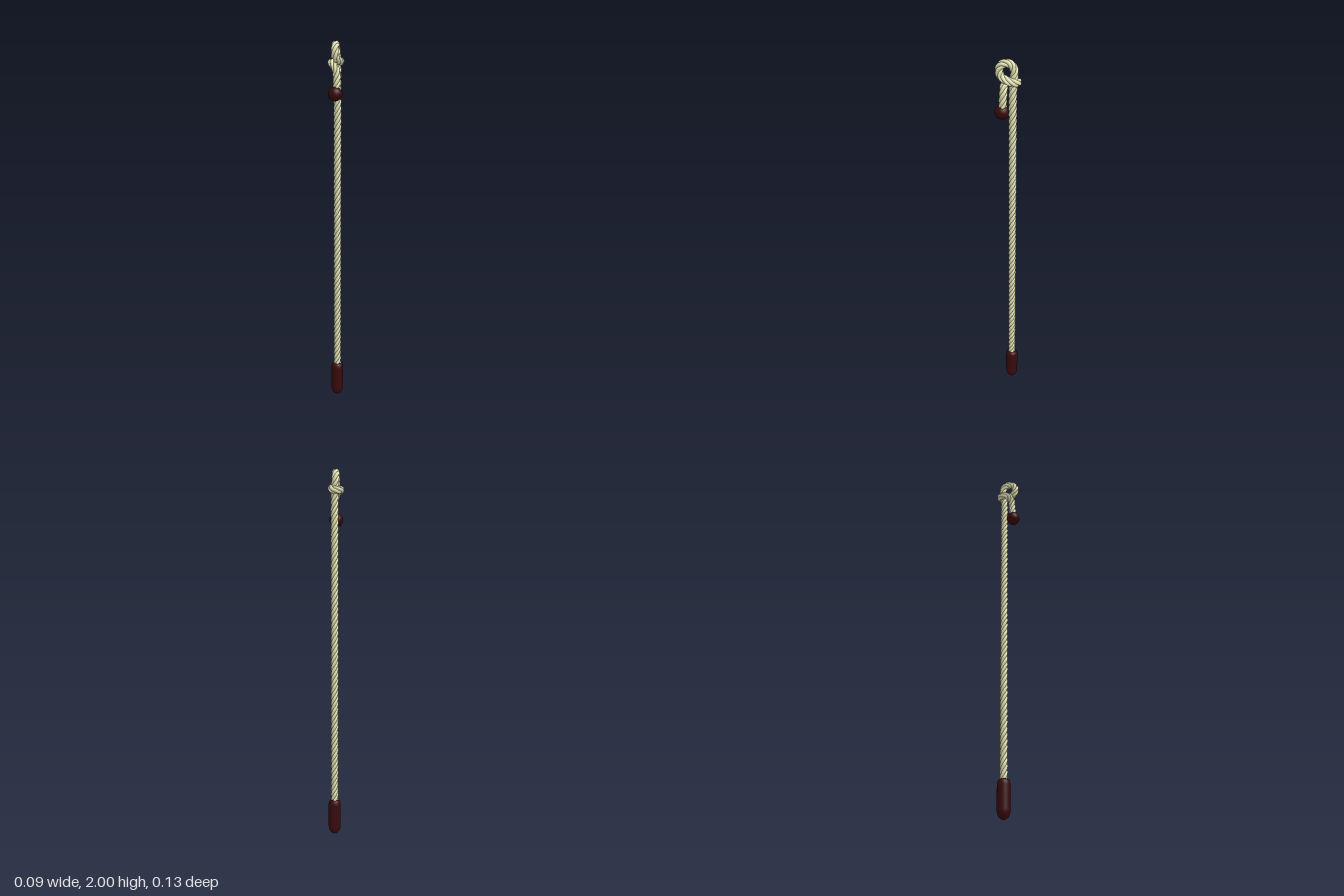
import * as THREE from 'three';

const ROPE = new THREE.MeshStandardMaterial({ color: 0xe3e3b5 });
const DARK = new THREE.MeshStandardMaterial({ color: 0x3a0a0c });

// Centre line: straight rope, loop at the top, wrap around itself, hanging tail
const PATH = [
  [0.012, 0.17, -0.02], [0.012, 0.6, -0.02], [0.012, 1.0, -0.02], [0.012, 1.4, -0.02],
  [0.012, 1.7, -0.02], [0.012, 1.84, -0.02], [0.012, 1.9, -0.024],
  [0.01, 1.943, -0.028], [0.004, 1.97, -0.016], [-0.004, 1.979, 0.009],
  [-0.012, 1.968, 0.033], [-0.016, 1.942, 0.041], [-0.01, 1.916, 0.034],
  [0.012, 1.902, 0.014], [0.025, 1.894, -0.012], [0.021, 1.888, -0.036],
  [0, 1.886, -0.045], [-0.018, 1.888, -0.03], [-0.019, 1.886, -0.005],
  [-0.01, 1.868, 0.017], [-0.002, 1.83, 0.024], [-0.006, 1.735, 0.028],
].map(p => new THREE.Vector3(...p));

// Twisted rope: strands spiralling round the centre line
function makeRope() {
  const rope = new THREE.Group();
  rope.name = 'rope';
  const path = new THREE.CatmullRomCurve3(PATH, false, 'centripetal');
  path.arcLengthDivisions = 1500;
  const steps = 600, strands = 4, pitch = 0.13, offset = 0.0112, radius = 0.0096;
  const turns = path.getLength() / pitch;
  const centres = path.getSpacedPoints(steps);
  const { normals, binormals } = path.computeFrenetFrames(steps, false);
  for (let s = 0; s < strands; s++) {
    const points = centres.map((c, i) => {
      const a = 2 * Math.PI * (turns * i / steps + s / strands);
      return c.clone()
        .addScaledVector(normals[i], offset * Math.cos(a))
        .addScaledVector(binormals[i], offset * Math.sin(a));
    });
    const curve = new THREE.CatmullRomCurve3(points);
    curve.arcLengthDivisions = 2400;
    const strand = new THREE.Mesh(new THREE.TubeGeometry(curve, steps, radius, 8), ROPE);
    strand.name = 'ropeStrand' + (s + 1);
    rope.add(strand);
  }
  return rope;
}

export function createModel() {
  const model = new THREE.Group();
  model.name = 'knottedPullCord';
  model.add(makeRope());

  // Rounded pull handle at the bottom
  const profile = [
    [0, 0], [0.01, 0.002], [0.02, 0.008], [0.028, 0.019], [0.033, 0.035], [0.034, 0.05],
    [0.034, 0.17], [0.032, 0.184], [0.027, 0.194], [0.018, 0.199], [0, 0.2],
  ].map(p => new THREE.Vector2(...p));
  const handle = new THREE.Mesh(new THREE.LatheGeometry(profile, 32), DARK);
  handle.name = 'pullHandle';
  handle.position.set(0.012, 0, -0.02);
  model.add(handle);

  // Ball stopper on the free end
  const ball = new THREE.Mesh(new THREE.SphereGeometry(0.037, 32, 20), DARK);
  ball.name = 'endBall';
  ball.position.set(-0.011, 1.736, 0.028);
  model.add(ball);

  return model;
}
